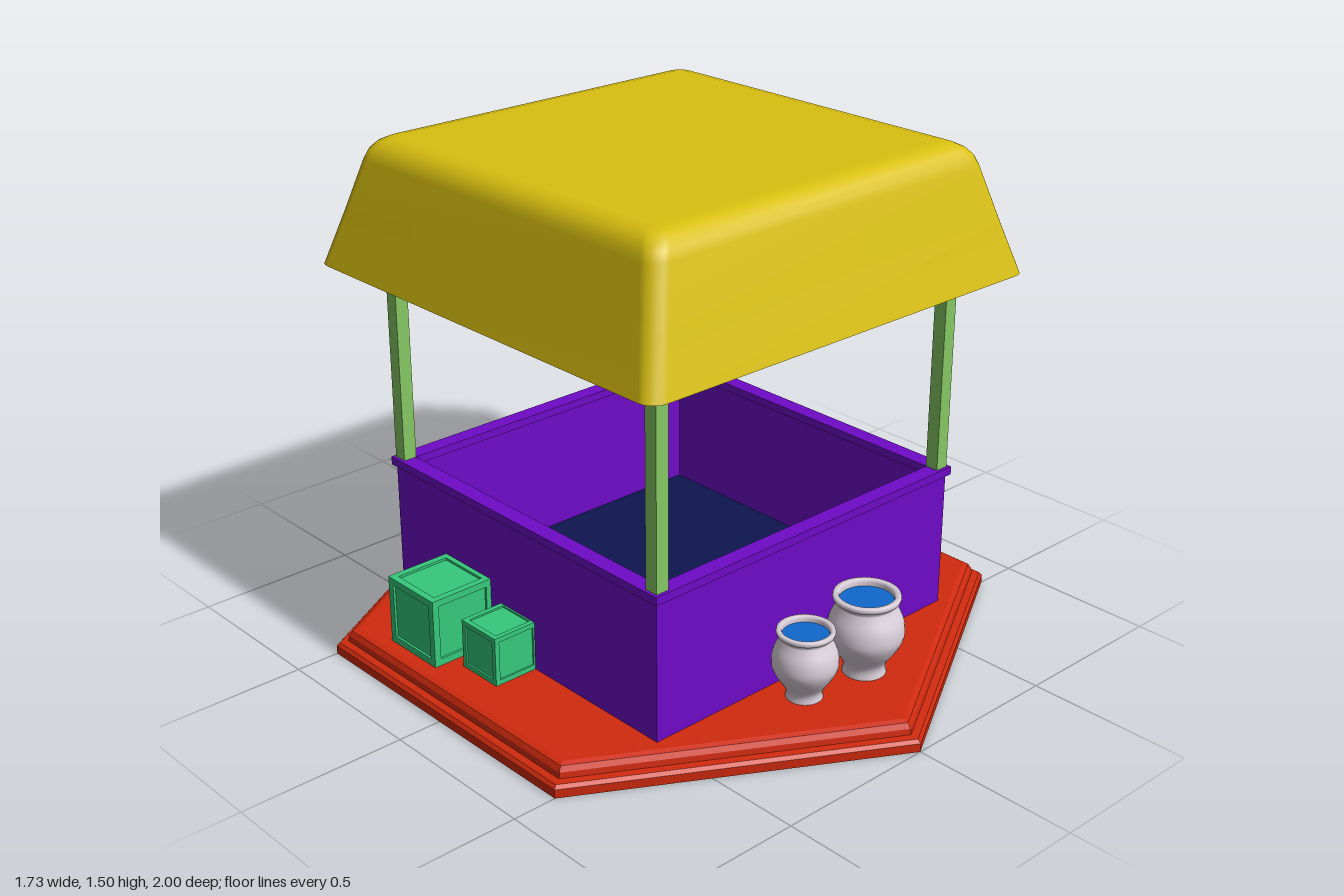
import * as THREE from 'three';

const mat = (color, extra = {}) => new THREE.MeshStandardMaterial({ color, ...extra });
const RED = mat(0xd02a0e, { flatShading: true });
const PURPLE = mat(0x6f0bc8);
const NAVY = mat(0x0e1650);
const POST = mat(0x86c863);
const ROOF = mat(0xd9c010, { side: THREE.DoubleSide });
const CRATE = mat(0x35c97c);
const SIGN = mat(0xc8761e);
const CHAIN = mat(0x1c0838);
const CLAY = mat(0xdacfda, { side: THREE.DoubleSide });
const WATER = mat(0x1068cc);

function add(parent, name, geometry, material, x = 0, y = 0, z = 0) {
  const mesh = new THREE.Mesh(geometry, material);
  mesh.name = name;
  mesh.position.set(x, y, z);
  parent.add(mesh);
  return mesh;
}

const box = (w, h, d) => new THREE.BoxGeometry(w, h, d);
const lathe = (points, sides) =>
  new THREE.LatheGeometry(points.map(([r, y]) => new THREE.Vector2(r, y)), sides);

// Square tube standing on its local y = 0
function squareFrame(outer, inner, height) {
  const square = (Type, h) => new Type([[-h, -h], [h, -h], [h, h], [-h, h]].map(([x, y]) => new THREE.Vector2(x, y)));
  const shape = square(THREE.Shape, outer);
  shape.holes.push(square(THREE.Path, inner));
  return new THREE.ExtrudeGeometry(shape, { depth: height, bevelEnabled: false }).rotateX(-Math.PI / 2);
}

// Canopy lofted from rounded squares: [half size, y, corner radius]
function roofGeometry() {
  const rings = [
    [0.707, 1.125, 0.05], [0.66, 1.28, 0.05], [0.615, 1.435, 0.05], [0.604, 1.462, 0.05],
    [0.586, 1.482, 0.045], [0.562, 1.495, 0.04], [0.535, 1.5, 0.035], [0.5, 1.5, 0.03], [0, 1.5, 0],
  ];
  const steps = 5, count = 4 * (steps + 1), positions = [], index = [];
  for (const [half, y, r] of rings) {
    for (let k = 0; k < 4; k++) {
      const mid = (k + 0.5) * Math.PI / 2;
      for (let i = 0; i <= steps; i++) {
        const a = (k + i / steps) * Math.PI / 2;
        positions.push(
          Math.sign(Math.cos(mid)) * (half - r) + r * Math.cos(a), y,
          Math.sign(Math.sin(mid)) * (half - r) + r * Math.sin(a));
      }
    }
  }
  for (let i = 0; i < rings.length - 1; i++) {
    for (let j = 0; j < count; j++) {
      const a = i * count + j, b = i * count + (j + 1) % count;
      index.push(a, a + count, b, b, a + count, b + count);
    }
  }
  const g = new THREE.BufferGeometry();
  g.setAttribute('position', new THREE.Float32BufferAttribute(positions, 3));
  g.setIndex(index);
  g.computeVertexNormals();
  return g;
}

// Crate with recessed panels inside a frame of edge bars
function crate(size, x, y, z) {
  const g = new THREE.Group();
  g.name = 'crate';
  g.position.set(x, y + size / 2, z);
  const bar = size * 0.1, off = (size - bar) / 2, core = size * 0.93;
  add(g, 'cratePanels', box(core, core, core), CRATE);
  for (const a of [-off, off]) for (const b of [-off, off]) {
    add(g, 'crateEdge', box(size, bar, bar), CRATE, 0, a, b);
    add(g, 'crateEdge', box(bar, size, bar), CRATE, a, 0, b);
    add(g, 'crateEdge', box(bar, bar, size), CRATE, a, b, 0);
  }
  return g;
}

// Water jar, sized by belly radius and height
function jar(radius, height, x, z) {
  const g = new THREE.Group();
  g.name = 'waterJar';
  g.position.set(x, 0.05, z);
  const belly = [[0.57, 0.09], [0.54, 0.17], [0.6, 0.25], [0.82, 0.38], [0.97, 0.5], [1, 0.6],
    [0.95, 0.72], [0.82, 0.84], [0.76, 0.9]];
  const curve = new THREE.SplineCurve(belly.map(([r, y]) => new THREE.Vector2(r, y)));
  const profile = [[0, 0], [0.58, 0], ...curve.getPoints(24).map(p => [p.x, p.y]),
    [0.8, 0.93], [0.86, 0.94], [0.88, 0.97], [0.86, 1], [0.74, 1], [0.7, 0.97], [0.7, 0.88]];
  add(g, 'jarBody', lathe(profile.map(([r, y]) => [r * radius, y * height]), 32), CLAY);
  add(g, 'jarWater', new THREE.CircleGeometry(radius * 0.72, 32).rotateX(-Math.PI / 2), WATER, 0, height * 0.93, 0);
  return g;
}

export function createModel() {
  const model = new THREE.Group();
  model.name = 'well';

  // Hexagonal base, hollow underneath
  add(model, 'base', lathe([
    [0, 0.057], [0.945, 0.057], [0.945, 0], [1, 0], [1, 0.026], [0.99, 0.036], [0.965, 0.038],
    [0.962, 0.055], [0.952, 0.07], [0.935, 0.075], [0, 0.075],
  ], 6), RED);

  // Square basin with rim and dark water
  add(model, 'basinFloor', box(1.14, 0.04, 1.14), PURPLE, 0, 0.07, 0);
  add(model, 'basinWalls', squareFrame(0.57, 0.535, 0.43), PURPLE, 0, 0.07, 0);
  add(model, 'basinRim', squareFrame(0.581, 0.53, 0.025), PURPLE, 0, 0.495, 0);
  add(model, 'basinWater', box(1.07, 0.02, 1.07), NAVY, 0, 0.105, 0);

  // Posts, top beams and canopy
  for (const x of [-0.55, 0.55]) for (const z of [-0.55, 0.55])
    add(model, 'post', box(0.042, 0.97, 0.042), POST, x, 0.985, z);
  for (const s of [-0.55, 0.55]) {
    add(model, 'beam', box(1.06, 0.042, 0.042), POST, 0, 1.449, s);
    add(model, 'beam', box(0.042, 0.042, 1.06), POST, s, 1.449, 0);
  }
  add(model, 'roof', roofGeometry(), ROOF);

  // Blank sign hung on two chains of diamond links
  add(model, 'sign', box(0.012, 0.15, 0.4), SIGN, 0.583, 0.295, 0);
  for (const z of [-0.135, 0.135]) for (let i = 0; i < 3; i++)
    add(model, 'chainLink', new THREE.TorusGeometry(0.014, 0.004, 6, 4).rotateY(Math.PI / 2), CHAIN,
      0.577, 0.47 - i * 0.039, z);

  // Crates beside the basin
  model.add(crate(0.21, -0.67, 0.075, -0.24), crate(0.15, -0.635, 0.075, -0.015));

  // Water jars at the front
  model.add(jar(0.11, 0.27, 0.11, 0.69), jar(0.094, 0.235, -0.112, 0.67));

  return model;
}
